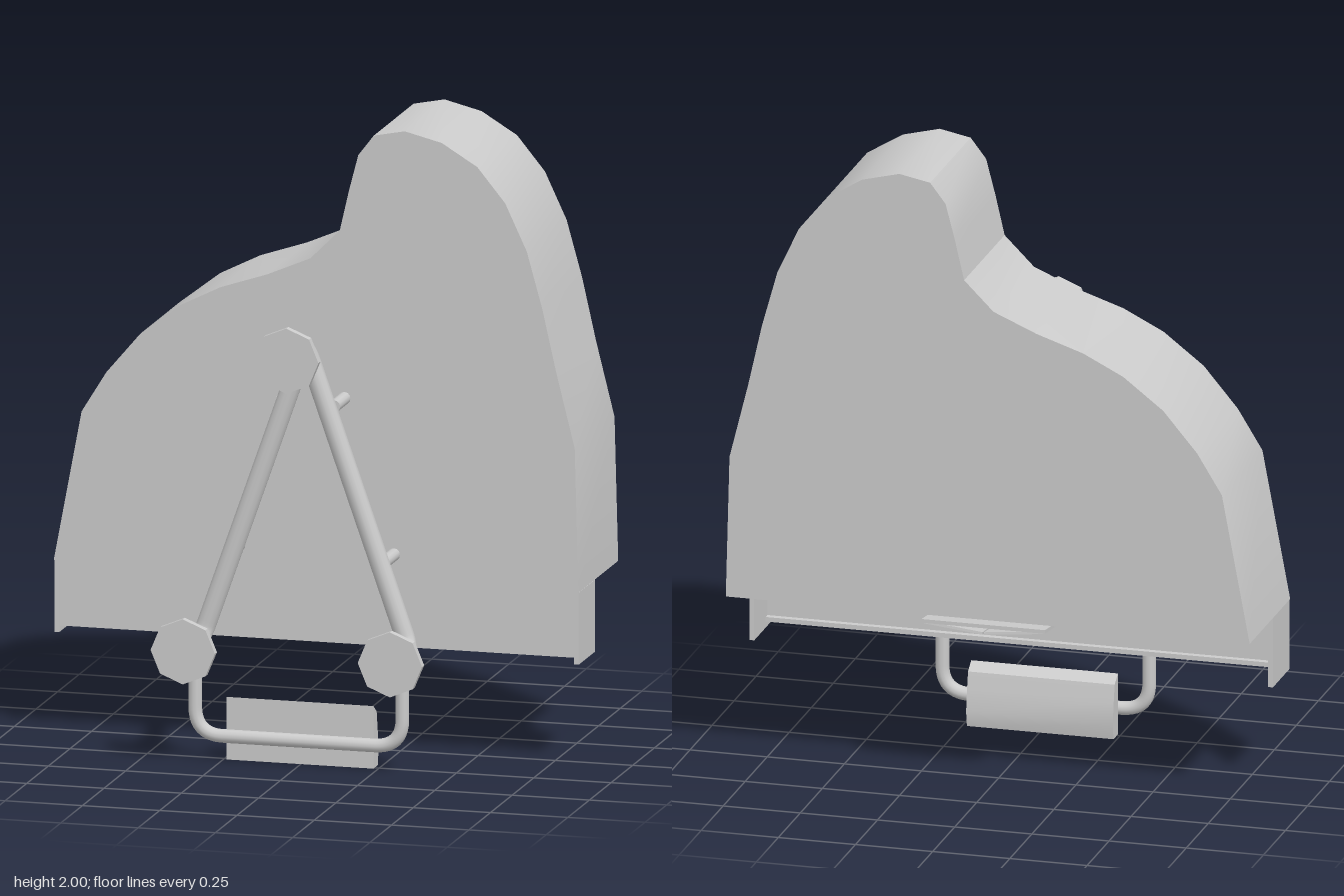
import * as THREE from 'three';
import { toCreasedNormals } from 'three/addons/utils/BufferGeometryUtils.js';

export function createModel() {
  const model = new THREE.Group();
  model.name = 'wallMountedPiano';
  const material = new THREE.MeshStandardMaterial({ color: 0xcccccc });

  const add = (name, geometry, x = 0, y = 0, z = 0) => {
    const mesh = new THREE.Mesh(geometry, material);
    mesh.name = name;
    mesh.position.set(x, y, z);
    model.add(mesh);
    return mesh;
  };
  // Box given by its limits on each axis
  const box = (name, x0, x1, y0, y1, z0, z1) => add(name,
    new THREE.BoxGeometry(x1 - x0, y1 - y0, z1 - z0), (x0 + x1) / 2, (y0 + y1) / 2, (z0 + z1) / 2);
  // Prism running along x from a profile of [z, y] points
  const prism = (name, profile, x0, x1) => {
    const shape = new THREE.Shape(profile.map(([z, y]) => new THREE.Vector2(-z, y)));
    const g = new THREE.ExtrudeGeometry(shape, { depth: x1 - x0, bevelEnabled: false });
    g.rotateY(Math.PI / 2);
    return add(name, toCreasedNormals(g, 0.5), x0);
  };
  // Pipe through corner points, each inner corner rounded
  const pipe = (name, corners, radius, bend) => {
    const p = corners.map((c) => new THREE.Vector3(...c));
    const path = new THREE.CurvePath();
    let from = p[0];
    for (let i = 1; i < p.length - 1; i++) {
      const a = p[i].clone().add(p[i - 1].clone().sub(p[i]).setLength(bend));
      const b = p[i].clone().add(p[i + 1].clone().sub(p[i]).setLength(bend));
      path.add(new THREE.LineCurve3(from, a));
      path.add(new THREE.QuadraticBezierCurve3(a, p[i], b));
      from = b;
    }
    path.add(new THREE.LineCurve3(from, p[p.length - 1]));
    return add(name, new THREE.TubeGeometry(path, 90, radius, 12, false));
  };
  // Rod parallel to z
  const rod = (name, x, y, z0, z1, radius, sides) => {
    const g = new THREE.CylinderGeometry(radius, radius, z1 - z0, sides);
    g.rotateX(Math.PI / 2);
    return add(name, sides > 8 ? g : toCreasedNormals(g, 0.5), x, y, (z0 + z1) / 2);
  };

  // Curved case
  const outline = [
    [-0.85, 0.56], [-0.76, 1.04], [-0.68, 1.17], [-0.57, 1.3], [-0.44, 1.4], [-0.31, 1.465],
    [-0.16, 1.515], [-0.02, 1.575], [0.075, 1.67], [0.105, 1.8], [0.135, 1.915], [0.185, 1.98],
    [0.285, 2], [0.405, 1.97], [0.52, 1.9], [0.61, 1.79], [0.68, 1.64], [0.73, 1.46],
    [0.775, 1.26], [0.835, 1.02], [0.847, 0.56],
  ];
  const caseGeometry = new THREE.ExtrudeGeometry(
    new THREE.Shape(outline.map(([x, y]) => new THREE.Vector2(x, y))),
    { depth: 0.46, bevelEnabled: false });
  add('case', toCreasedNormals(caseGeometry, 0.5), 0, 0, -0.38);

  // Keyboard recess
  for (const s of [-1, 1]) {
    const inner = s * 0.832, outer = s * 0.848;
    box(s > 0 ? 'leftCheek' : 'rightCheek',
      Math.min(inner, outer), Math.max(inner, outer), 0.33, 0.56, -0.11, 0.08);
  }
  box('keyBed', -0.832, 0.832, 0.35, 0.54, 0.04, 0.075);
  box('keySlip', -0.832, 0.832, 0.35, 0.365, 0.02, 0.04);
  box('fallboard', -0.832, 0.832, 0.54, 0.56, -0.11, 0.08);

  // Music desk with an open book
  prism('musicDesk', [[-0.14, 0.525], [-0.14, 0.513], [-0.425, 0.548], [-0.425, 0.56]], -0.2, 0.2);
  prism('deskLip', [[-0.132, 0.56], [-0.145, 0.56], [-0.158, 0.495], [-0.14, 0.498]], -0.2, 0.2);
  for (const s of [-1, 1]) {
    const page = box('bookPage', -0.095, 0.095, -0.004, 0.004, -0.135, 0.135);
    page.position.set(s * 0.097, 0.524, -0.29);
    page.rotation.set(0.122, 0, s * 0.1);
  }

  // Frame legs, each from the shared top elbow to a lower foot
  const legX = 0.335, topY = 1.325, footY = 0.375, frameZ = 0.207;
  for (const s of [-1, 1]) {
    pipe('frameLeg', [[0, topY, 0.41], [0, topY, frameZ], [s * legX, footY, frameZ],
      [s * legX, footY, 0.41]], 0.031, 0.05);
    for (const [x, y] of [[0.09, 1.135], [0.25, 0.645]]) rod('standoff', s * x, y, 0.07, 0.2, 0.02, 12);
  }
  for (const [x, y] of [[0, topY], [-legX, footY], [legX, footY]]) rod('foot', x, y, 0.405, 0.43, 0.104, 8);

  // Pedal support and pedal box
  pipe('pedalBar', [[-legX, footY, 0.285], [-legX, 0.08, 0.285], [legX, 0.08, 0.285],
    [legX, footY, 0.285]], 0.022, 0.09);
  prism('pedalBox', [[0.262, 0], [0.262, 0.2], [0.225, 0.175], [0.214, 0.12], [0.203, 0.05], [0.212, 0]], -0.24, 0.235);

  return model;
}
